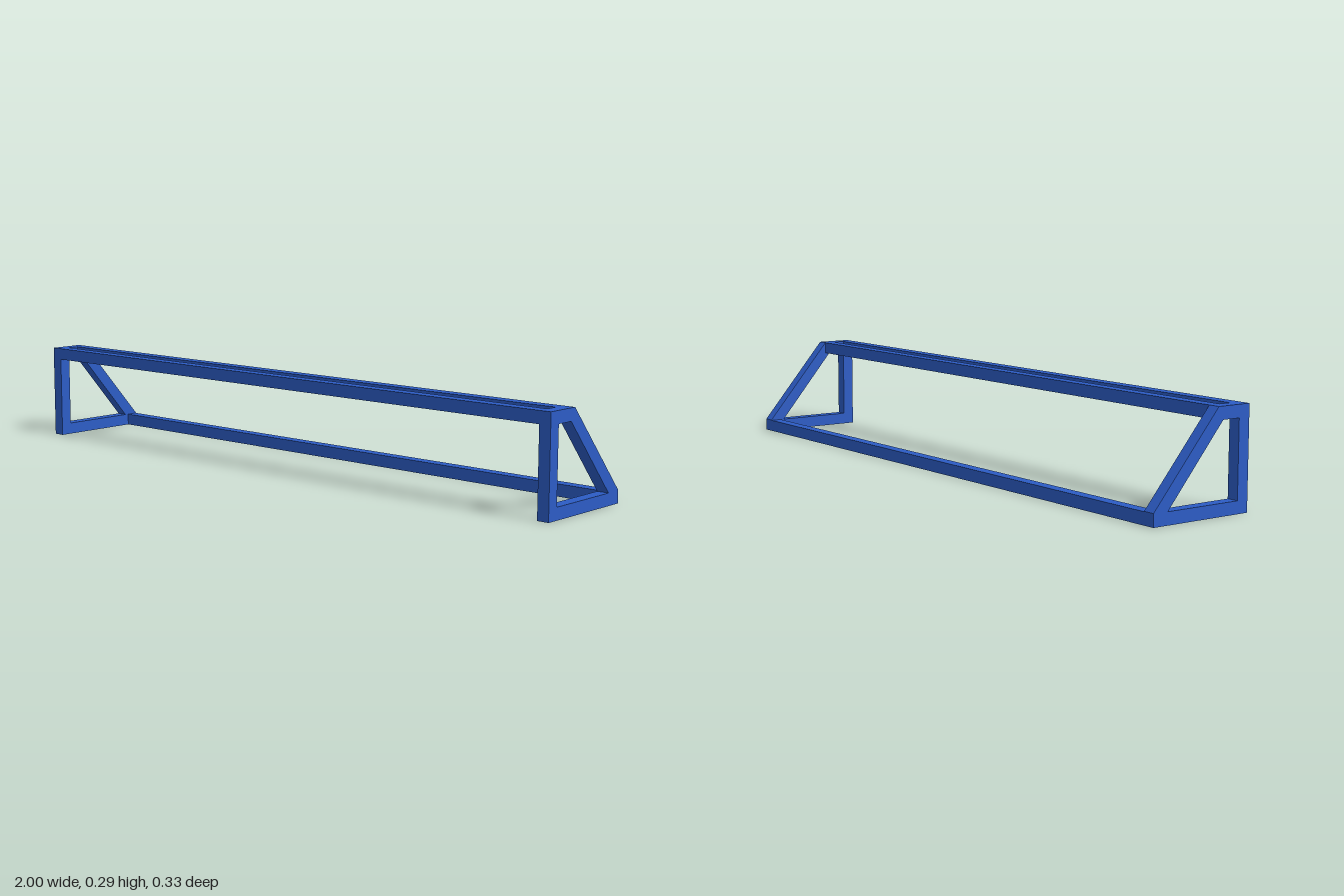
import * as THREE from 'three';

const BAR = 0.036;            // thickness of every bar
const HEIGHT = 0.291, DEPTH = 0.328, WIDTH = 2;

export function createModel() {
  const model = new THREE.Group();
  model.name = 'rackFrame';
  const blue = new THREE.MeshStandardMaterial({ color: 0x2c5cc5 });
  blue.name = 'blue paint';

  // Points are [z, y]; the shape's x axis is -z so the extrusion turns onto x
  const toPoints = (list) => list.map(([z, y]) => new THREE.Vector2(-z, y));
  const front = DEPTH / 2, back = -DEPTH / 2;

  // End frame: upright, short top, sloping back brace and foot in one outline
  const outline = new THREE.Shape(toPoints([
    [front, 0], [back, 0], [back, 0.037], [0.055, HEIGHT], [front, HEIGHT],
  ]));
  outline.holes.push(new THREE.Path(toPoints([
    [front - BAR, BAR], [front - BAR, HEIGHT - BAR], [0.071, HEIGHT - BAR], [-0.116, BAR],
  ])));
  const frameGeometry = new THREE.ExtrudeGeometry(outline, { depth: BAR, bevelEnabled: false });
  frameGeometry.translate(0, 0, -BAR / 2);
  frameGeometry.rotateY(Math.PI / 2);

  for (const [name, side] of [['leftEndFrame', 1], ['rightEndFrame', -1]]) {
    const frame = new THREE.Mesh(frameGeometry, blue);
    frame.name = name;
    frame.position.x = side * (WIDTH - BAR) / 2;
    model.add(frame);
  }

  // Long rails between the end frames
  const railGeometry = new THREE.BoxGeometry(WIDTH - 2 * BAR, BAR, BAR);
  const rails = [
    ['frontTopRail', HEIGHT - BAR / 2, front - BAR / 2],
    ['rearTopRail', HEIGHT - BAR / 2, 0.055 + BAR / 2],
    ['rearBottomRail', BAR / 2, back + BAR / 2],
  ];
  for (const [name, y, z] of rails) {
    const rail = new THREE.Mesh(railGeometry, blue);
    rail.name = name;
    rail.position.set(0, y, z);
    model.add(rail);
  }
  return model;
}
